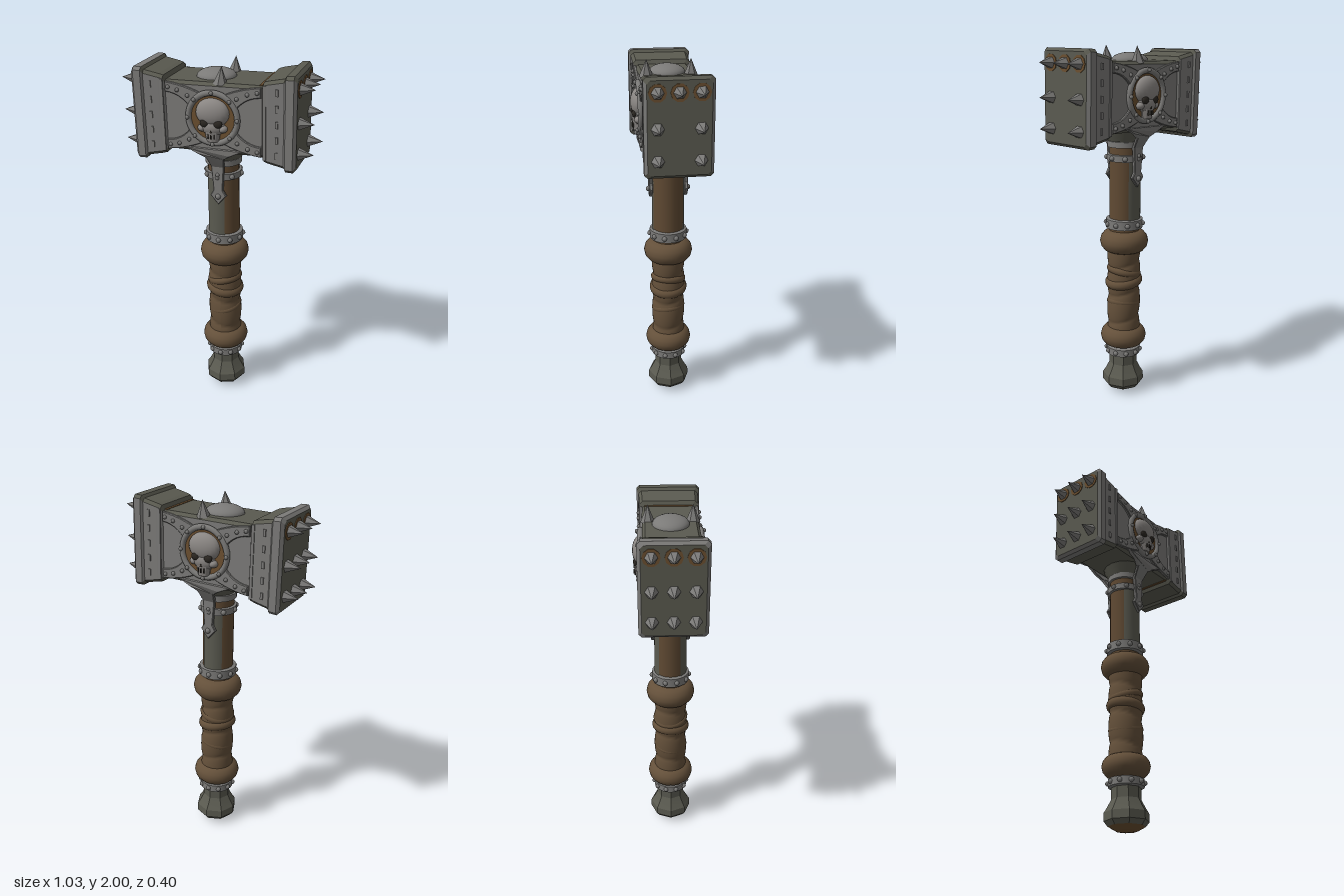
import * as THREE from 'three';
import { toCreasedNormals } from 'three/addons/utils/BufferGeometryUtils.js';

const mat = (name, color) => {
  const m = new THREE.MeshStandardMaterial({ color });
  m.name = name;
  return m;
};

export function createModel() {
  const steel = mat('steel', 0x7b7a78), iron = mat('dark iron', 0x5a5a50);
  const leather = mat('leather', 0x64503a), wood = mat('wood', 0x604a33);
  const rust = mat('rust', 0x6b4f30), bone = mat('bone', 0x8a8683), dark = mat('hollow', 0x2b2722);

  const model = new THREE.Group();
  model.name = 'warHammer';
  const group = (name, parent) => {
    const g = new THREE.Group();
    g.name = name;
    parent.add(g);
    return g;
  };
  const add = (parent, name, geo, m, x = 0, y = 0, z = 0) => {
    const mesh = new THREE.Mesh(geo, m);
    mesh.name = name;
    mesh.position.set(x, y, z);
    parent.add(mesh);
    return mesh;
  };
  const flat = (geo) => toCreasedNormals(geo, 0.3);
  const lathe = (pts, n) => new THREE.LatheGeometry(pts.map(p => new THREE.Vector2(...p)), n);
  const rivetGeo = new THREE.SphereGeometry(0.011, 8, 6);
  const spikeGeo = flat(new THREE.ConeGeometry(0.038, 0.09, 6));

  // ---------- Handle ----------
  const handle = group('handle', model);
  handle.position.x = 0.027;
  handle.rotation.z = 0.013;

  add(handle, 'pommelBase', flat(lathe([[0, 0], [0.06, 0.008], [0.1, 0.03]], 8)), rust);
  add(handle, 'pommel', flat(lathe([[0.1, 0.03], [0.12, 0.055], [0.119, 0.1], [0.1, 0.13],
    [0.08, 0.17], [0.08, 0.24]], 8)), iron);

  // Studded metal bands
  const band = (name, y, r, h, studs) => {
    const g = group(name, handle);
    add(g, 'ring', toCreasedNormals(lathe([[r - 0.025, y - h], [r, y - h * 0.8], [r, y + h * 0.8],
      [r - 0.025, y + h]], 24), 0.6), steel);
    for (let i = 0; i < studs; i++) {
      const a = i / studs * Math.PI * 2;
      add(g, 'stud', rivetGeo, steel, Math.sin(a) * r, y, Math.cos(a) * r).scale.setScalar(1.3);
    }
  };
  band('lowerBand', 0.255, 0.098, 0.026, 10);
  band('upperBand', 1.025, 0.104, 0.032, 10);
  band('neckBand', 1.4, 0.1, 0.022, 8);
  band('socketBand', 1.475, 0.098, 0.02, 0);

  // Leather grip, its radius stepping along a loose spiral
  const grip = new THREE.CylinderGeometry(1, 1, 0.62, 32, 60, true);
  const gp = grip.attributes.position;
  for (let i = 0; i < gp.count; i++) {
    const x = gp.getX(i), y = gp.getY(i), z = gp.getZ(i);
    const turn = y * 12 + 0.25 * x + 0.15 * z;
    const r = 0.083 + 0.012 * Math.sqrt(Math.abs(Math.sin(turn * Math.PI / 2)));
    gp.setXYZ(i, x * r, y, z * r);
  }
  grip.computeVertexNormals();
  add(handle, 'grip', grip, leather, 0, 0.62, 0);

  const roll = (name, y, R, r, tx = 0, tz = 0) => {
    const geo = new THREE.TorusGeometry(R, r, 14, 32).rotateX(Math.PI / 2);
    add(handle, name, geo, leather, 0, y, 0).rotation.set(tx, 0, tz);
  };
  roll('lowerRoll', 0.345, 0.07, 0.062);
  roll('upperRoll', 0.92, 0.071, 0.066);
  roll('wrap', 0.68, 0.076, 0.032, 0.05, -0.15);
  roll('wrap', 0.74, 0.076, 0.024, -0.1, 0.22);
  roll('wrap', 0.55, 0.076, 0.021, 0.1, 0.2);

  // Wooden shaft with worn metal sheets at front and back
  add(handle, 'shaft', new THREE.CylinderGeometry(0.086, 0.086, 0.62, 20), wood, 0, 1.28, 0);
  [-0.3, Math.PI + 0.1].forEach(a => add(handle, 'shaftSheet',
    new THREE.CylinderGeometry(0.09, 0.09, 0.34, 10, 1, true, a - 0.65, 1.3), iron, 0, 1.22, 0));

  // ---------- Head ----------
  const head = group('head', model);
  head.position.set(0.003, 1.737, 0);
  head.rotation.z = 0.025;

  // Body: chamfered rectangles [x, half height, half depth] joined along x
  const half = [[0.255, 0.183, 0.145], [0.265, 0.205, 0.156], [0.29, 0.212, 0.158], [0.37, 0.228, 0.16],
    [0.38, 0.243, 0.171], [0.42, 0.245, 0.171], [0.435, 0.23, 0.155]];
  const stations = [...half.map(([x, h, d]) => [-x, h, d]).reverse(), ...half];
  const rings = stations.map(([x, h, d]) => {
    const c = 0.016;
    return [[h, c - d], [h, d - c], [h - c, d], [c - h, d], [-h, d - c], [-h, c - d], [c - h, -d], [h - c, -d]]
      .map(([y, z]) => [x, y, z]);
  });
  const faces = { steel: [], iron: [] };
  const last = rings.length - 1;
  for (let i = 0; i < last; i++) {
    for (let j = 0; j < 8; j++) {
      const k = (j + 1) % 8;
      const a = rings[i][j], b = rings[i][k], c = rings[i + 1][k], d = rings[i + 1][j];
      const key = (j === 2 || j === 6 || i < 2) ? 'steel' : 'iron';
      faces[key].push(...a, ...b, ...c, ...a, ...c, ...d);
    }
  }
  for (let j = 1; j < 7; j++) {
    faces.iron.push(...rings[last][0], ...rings[last][j], ...rings[last][j + 1]);
    faces.iron.push(...rings[0][0], ...rings[0][j + 1], ...rings[0][j]);
  }
  const facesMesh = (name, list, m) => {
    const geo = new THREE.BufferGeometry();
    geo.setAttribute('position', new THREE.Float32BufferAttribute(list, 3));
    geo.computeVertexNormals();
    add(head, name, geo, m);
  };
  facesMesh('headFaces', faces.steel, steel);
  facesMesh('headBody', faces.iron, iron);
  add(head, 'socket', new THREE.CylinderGeometry(0.13, 0.095, 0.07, 16), iron, 0.005, -0.21, 0);

  // Rust streaks across the top and bottom
  [1, -1].forEach(s => add(head, 'rustStreak', new THREE.BoxGeometry(0.014, 0.004, 0.26), rust, 0.246, s * 0.184, 0));

  // End spikes: three rows, the right-hand end missing its lower middle ones
  for (const s of [-1, 1]) {
    [0.172, 0, -0.158].forEach((y, row) => {
      for (const z of [-0.105, 0, 0.105]) {
        if (z === 0 && s === 1 && row > 0) continue;
        add(head, 'endSpike', spikeGeo, steel, s * 0.468, y, z).rotation.z = -s * Math.PI / 2;
        if (row === 0) {
          add(head, 'spikeRust', new THREE.CylinderGeometry(0.044, 0.044, 0.006, 10), rust, s * 0.436, y, z)
            .rotation.z = Math.PI / 2;
        }
      }
    });
  }

  // Dome and two spikes on top
  add(head, 'topDome', new THREE.SphereGeometry(1, 28, 8, 0, Math.PI * 2, 0, Math.PI / 2), steel, -0.028, 0.182, 0)
    .scale.set(0.105, 0.044, 0.095);
  for (const z of [-0.115, 0.115]) add(head, 'topSpike', spikeGeo, steel, 0.035, 0.217, z).rotation.z = -0.1;

  // Ornament on one broad face, then repeated on the other
  const extrude = (pts, depth) => new THREE.ExtrudeGeometry(
    new THREE.Shape(pts.map(p => new THREE.Vector2(...p))),
    { depth, bevelEnabled: true, bevelSize: 0.004, bevelThickness: 0.004, bevelSegments: 1 });

  const ornament = (name) => {
    const g = group(name, head);
    const rivet = (x, y, z = 0.161) => add(g, 'rivet', rivetGeo, steel, x, y, z);

    // Curved arms from the corners to the ring
    for (const sx of [-1, 1]) for (const sy of [-1, 1]) {
      const outer = new THREE.QuadraticBezierCurve(new THREE.Vector2(0.25, 0.175),
        new THREE.Vector2(0.15, 0.165), new THREE.Vector2(0.06, 0.125)).getPoints(6);
      const inner = new THREE.QuadraticBezierCurve(new THREE.Vector2(0.12, 0.06),
        new THREE.Vector2(0.17, 0.125), new THREE.Vector2(0.25, 0.13)).getPoints(6);
      add(g, 'arm', flat(extrude([...outer, ...inner].map(p => [p.x * sx, p.y * sy]), 0.01)), steel, 0, 0, 0.144);
      rivet(sx * 0.235, sy * 0.152);
      rivet(sx * 0.185, sy * 0.14);
      rivet(sx * 0.13, sy * 0.115);
    }
    // End block trim
    for (const sx of [-1, 1]) {
      add(g, 'edgeTrim', new THREE.BoxGeometry(0.016, 0.38, 0.012), steel, sx * 0.272, 0, 0.156);
      for (let i = -2; i <= 2; i++) {
        add(g, 'trimStud', new THREE.BoxGeometry(0.014, 0.035, 0.008), steel, sx * 0.335, i * 0.08, 0.161);
      }
    }
    // Medallion ring and backing
    add(g, 'medallionBack', new THREE.CylinderGeometry(0.13, 0.13, 0.008, 32), rust, 0, 0.005, 0.15).rotation.x = Math.PI / 2;
    add(g, 'medallionRing', new THREE.TorusGeometry(0.131, 0.016, 8, 36), steel, 0, 0.005, 0.154);
    for (let i = 0; i < 8; i++) {
      const a = i * Math.PI / 4;
      rivet(Math.cos(a) * 0.133, 0.005 + Math.sin(a) * 0.133, 0.17);
    }
    // Skull
    const skull = group('skull', g);
    const ball = (n, m, x, y, z, a, b, c) =>
      add(skull, n, new THREE.SphereGeometry(1, 20, 14), m, x, y, z).scale.set(a, b, c);
    ball('cranium', bone, 0, 0.035, 0.152, 0.09, 0.075, 0.046);
    ball('face', bone, 0, -0.035, 0.152, 0.066, 0.05, 0.04);
    for (const s of [-1, 1]) {
      ball('cheek', bone, s * 0.055, -0.045, 0.158, 0.025, 0.02, 0.025);
      ball('eyeSocket', dark, s * 0.036, -0.014, 0.18, 0.024, 0.022, 0.014);
    }
    add(skull, 'jaw', flat(new THREE.CylinderGeometry(0.046, 0.034, 0.062, 10)), bone, 0, -0.083, 0.152).scale.z = 0.85;
    add(skull, 'nose', new THREE.ConeGeometry(0.013, 0.03, 3), dark, 0, -0.045, 0.188).scale.z = 0.5;
    for (let i = -1; i <= 1; i++) {
      add(skull, 'toothGap', new THREE.BoxGeometry(0.004, 0.024, 0.008), dark, i * 0.016, -0.082, 0.189 - Math.abs(i) * 0.004);
    }
    // Strap flaring under the ring, bent inward on to the shaft
    const side = [[0.15, -0.16], [0.085, -0.19], [0.045, -0.215], [0.032, -0.275], [0.022, -0.41],
      [0.04, -0.44], [0, -0.487]];
    const strap = extrude([...side, ...side.slice(0, -1).reverse().map(([x, y]) => [-x, y])], 0.012);
    const sp = strap.attributes.position;
    for (let i = 0; i < sp.count; i++) {
      const t = THREE.MathUtils.clamp((-0.19 - sp.getY(i)) / 0.085, 0, 1);
      sp.setZ(i, sp.getZ(i) - t * 0.052);
    }
    add(g, 'strap', flat(strap), steel, 0, 0, 0.143);
    rivet(0, -0.32, 0.108);
    rivet(0, -0.445, 0.108).scale.setScalar(1.4);
    return g;
  };
  ornament('frontOrnament');
  ornament('backOrnament').rotation.y = Math.PI;

  return model;
}
